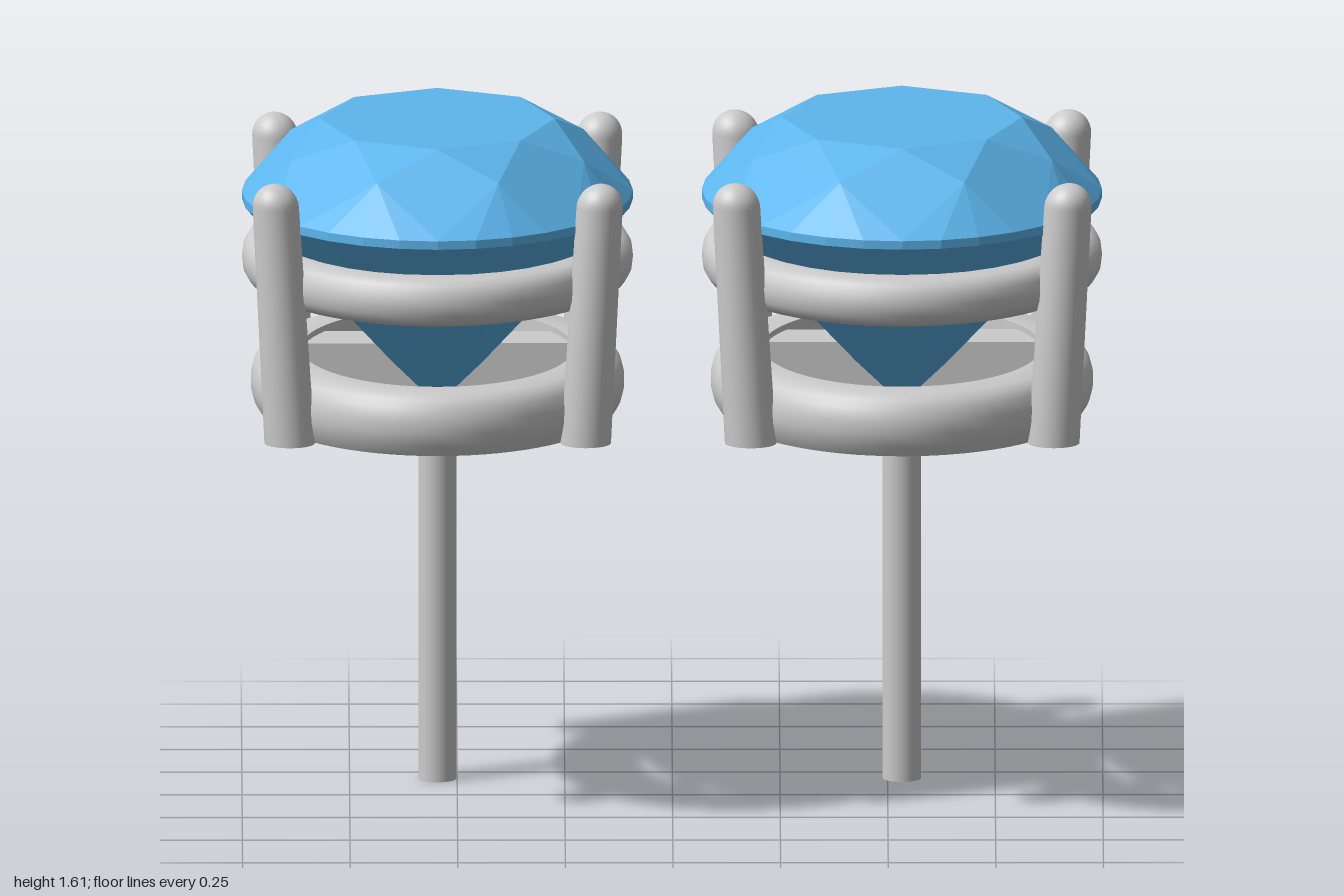
import * as THREE from 'three';
import { ConvexGeometry } from 'three/addons/geometries/ConvexGeometry.js';
import { toCreasedNormals } from 'three/addons/utils/BufferGeometryUtils.js';

const metal = new THREE.MeshStandardMaterial({ color: 0xcccccc });
const blue = new THREE.MeshStandardMaterial({ color: 0x5db6ee, flatShading: true });

function add(parent, name, geometry, material = metal) {
  const mesh = new THREE.Mesh(geometry, material);
  mesh.name = name;
  parent.add(mesh);
  return mesh;
}

// Oval brilliant cut: table, star points, girdle, lower facet points, culet
function gemGeometry(rx, rz) {
  const points = [];
  const loop = (count, radius, y, offset = 0) => {
    for (let i = 0; i < count; i++) {
      const a = (i / count) * Math.PI * 2 + offset;
      points.push(new THREE.Vector3(Math.sin(a) * radius * rx, y, Math.cos(a) * radius * rz));
    }
  };
  loop(8, 0.6, 1.61);
  loop(8, 0.81, 1.547, Math.PI / 8);
  loop(32, 1, 1.44);
  loop(32, 1, 1.42);
  loop(8, 0.25, 1.043, Math.PI / 8);
  points.push(new THREE.Vector3(0, 0.93, 0));
  return new ConvexGeometry(points);
}

// Oval ring of even thickness; profile = [depth inward from the rim, y]
function ringGeometry(rx, rz, profile) {
  const pts = [...profile, profile[0]].map(([d, y]) => new THREE.Vector2(1 - d, y));
  const geo = new THREE.LatheGeometry(pts, 72);
  const p = geo.attributes.position;
  for (let i = 0; i < p.count; i++) {
    const x = p.getX(i), z = p.getZ(i), r = Math.hypot(x, z);
    p.setX(i, (x / r) * (rx - 1 + r));
    p.setZ(i, (z / r) * (rz - 1 + r));
  }
  return toCreasedNormals(geo, 0.7);
}

// Round-tipped prong with a flat foot, leaning outward as it rises
function prongGeometry(sx, sz) {
  const pts = [new THREE.Vector2(0, 0.92), new THREE.Vector2(0.06, 0.92)];
  for (let i = 0; i <= 8; i++) {
    const a = (i / 8) * Math.PI / 2;
    pts.push(new THREE.Vector2(i === 8 ? 0 : 0.055 * Math.cos(a), 1.485 + 0.055 * Math.sin(a)));
  }
  const geo = new THREE.LatheGeometry(pts, 24);
  const p = geo.attributes.position;
  for (let i = 0; i < p.count; i++) {
    const t = (p.getY(i) - 0.92) / 0.565;
    p.setX(i, p.getX(i) + sx * (0.352 + 0.033 * t));
    p.setZ(i, p.getZ(i) + sz * (0.39 + 0.015 * t));
  }
  return toCreasedNormals(geo, 0.7);
}

function createEarring(name) {
  const g = new THREE.Group();
  g.name = name;
  add(g, 'gem', gemGeometry(0.465, 0.58), blue);

  // Upper ring has a rounded rim, lower ring a flat underside
  add(g, 'upperRing', ringGeometry(0.465, 0.58, [
    [0.1, 1.23], [0.035, 1.23], [0.015, 1.24], [0.003, 1.26], [0, 1.285],
    [0.003, 1.31], [0.015, 1.33], [0.035, 1.34], [0.1, 1.34]]));
  add(g, 'lowerRing', ringGeometry(0.445, 0.563, [
    [0.12, 0.92], [0.025, 0.92], [0.009, 0.945], [0.001, 0.975], [0.001, 1.005],
    [0.009, 1.035], [0.022, 1.053], [0.045, 1.065], [0.12, 1.065]]));

  // Four prongs hold the gem
  for (const sx of [-1, 1]) for (const sz of [-1, 1]) add(g, 'prong', prongGeometry(sx, sz));

  // Cross bar behind the middle carries the ear post
  add(g, 'crossBar', new THREE.BoxGeometry(0.64, 0.13, 0.14)).position.set(0, 0.986, -0.185);
  add(g, 'post', new THREE.CylinderGeometry(0.045, 0.045, 0.95, 24)).position.set(0, 0.475, -0.185);
  return g;
}

export function createModel() {
  const model = new THREE.Group();
  model.name = 'earrings';
  const left = createEarring('leftEarring');
  left.position.x = 0.533;
  const right = createEarring('rightEarring');
  right.position.x = -0.546;
  right.scale.set(0.977, 0.998, 0.977);
  model.add(left, right);
  return model;
}
